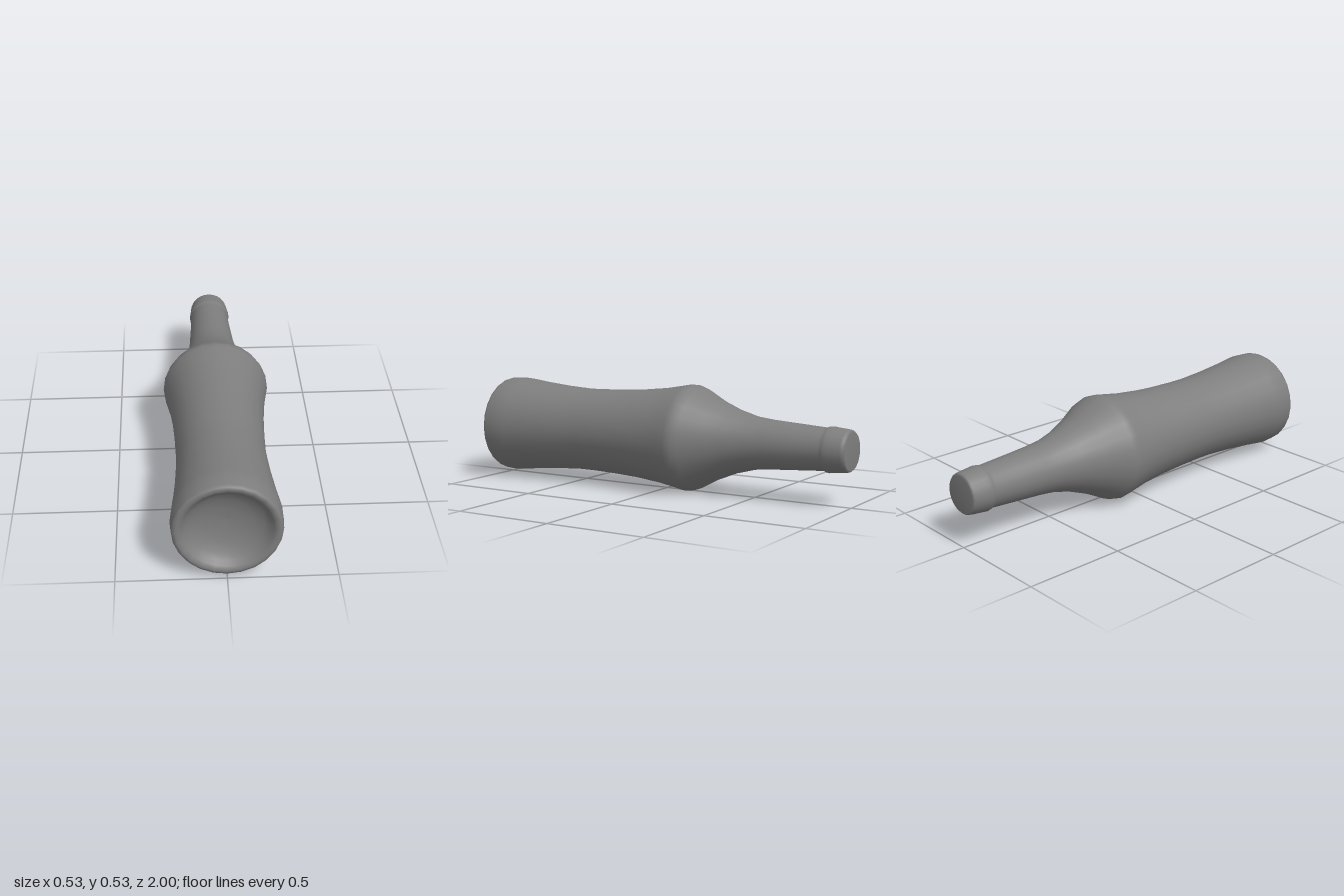
import * as THREE from 'three';

const SIDES = 24;
const AXIS_HEIGHT = 0.267;

// Revolves [radius, distance along the axis] pairs, then lays the axis down with the neck towards -z
function lathePart(name, profile, material) {
  const points = profile.map(([r, d]) => new THREE.Vector2(r, d));
  const geometry = new THREE.LatheGeometry(points, SIDES);
  geometry.rotateX(-Math.PI / 2);
  const mesh = new THREE.Mesh(geometry, material);
  mesh.name = name;
  mesh.position.y = AXIS_HEIGHT;
  return mesh;
}

export function createModel() {
  const model = new THREE.Group();
  model.name = 'bottle';
  const material = new THREE.MeshStandardMaterial({ color: 0x7e7e7e });

  model.add(lathePart('bottleBody', [
    // hollow in the base
    [0, -0.915], [0.06, -0.918], [0.12, -0.93], [0.165, -0.95], [0.19, -0.97], [0.205, -0.99],
    // rounded rim of the base
    [0.217, -0.998], [0.229, -1], [0.241, -0.998], [0.247, -0.985], [0.251, -0.92],
    // waisted body
    [0.246, -0.87], [0.236, -0.79], [0.222, -0.64], [0.214, -0.5], [0.214, -0.42],
    [0.218, -0.28], [0.226, -0.14], [0.241, 0], [0.255, 0.08],
    // shoulder
    [0.264, 0.13], [0.266, 0.15], [0.261, 0.17], [0.25, 0.2],
    [0.197, 0.3], [0.157, 0.4], [0.13, 0.5], [0.12, 0.59],
    // neck
    [0.111, 0.73], [0.102, 0.87],
    // collar and closed mouth
    [0.108, 0.885], [0.11, 0.9], [0.107, 0.92], [0.102, 0.975],
    [0.099, 0.99], [0.09, 1], [0, 1],
  ], material));

  return model;
}
